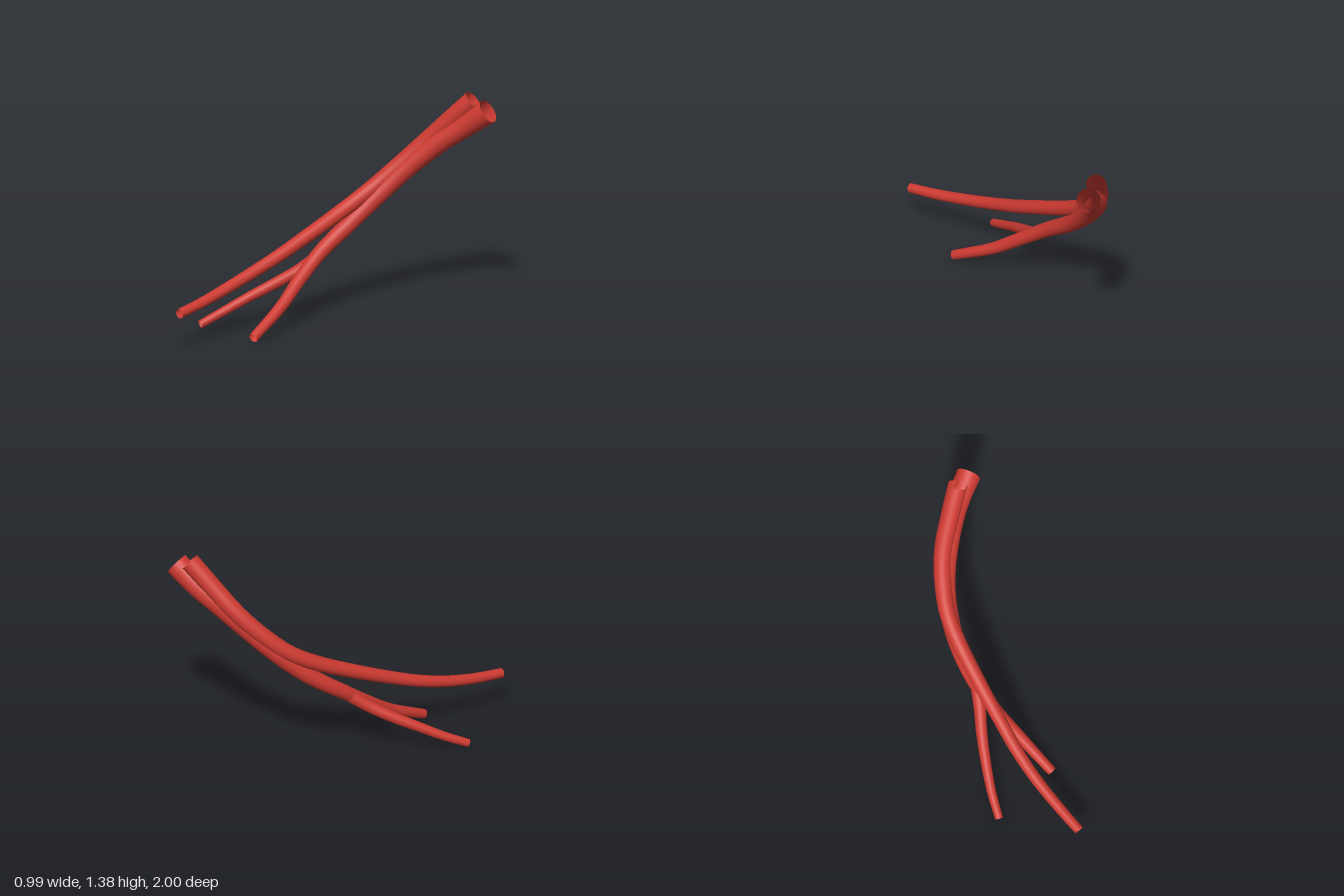
import * as THREE from 'three';

const SIDES = 24;

// Open tube along a smooth path, its radius growing evenly from r0 to r1
function taperedTube(name, points, r0, r1, material) {
  const curve = new THREE.CatmullRomCurve3(points.map(p => new THREE.Vector3(...p)));
  const steps = 64;
  const geometry = new THREE.TubeGeometry(curve, steps, 1, SIDES, false);
  const position = geometry.attributes.position;
  const v = new THREE.Vector3();
  for (let i = 0; i <= steps; i++) {
    const centre = curve.getPointAt(i / steps);
    const radius = THREE.MathUtils.lerp(r0, r1, i / steps);
    for (let j = 0; j <= SIDES; j++) {
      const k = i * (SIDES + 1) + j;
      v.fromBufferAttribute(position, k).sub(centre).multiplyScalar(radius).add(centre);
      position.setXYZ(k, v.x, v.y, v.z);
    }
  }
  const mesh = new THREE.Mesh(geometry, material);
  mesh.name = name;
  return mesh;
}

export function createModel() {
  const group = new THREE.Group();
  group.name = 'branchingVessels';
  const red = new THREE.MeshStandardMaterial({ color: 0xcc3a31, side: THREE.DoubleSide });
  red.name = 'vessel red';

  // Long upper vessel
  group.add(taperedTube('upperVessel', [
    [-0.18, 0.25, 1.0], [-0.195, 0.28, 0.8], [-0.205, 0.325, 0.6], [-0.2, 0.385, 0.4],
    [-0.18, 0.46, 0.2], [-0.16, 0.545, 0], [-0.125, 0.675, -0.28], [-0.085, 0.775, -0.45],
    [0, 0.92, -0.61], [0.09, 1.05, -0.72], [0.22, 1.21, -0.82], [0.335, 1.345, -0.9],
  ], 0.03, 0.06, red));

  // Wider lower vessel
  group.add(taperedTube('lowerVessel', [
    [-0.035, 0.035, 0.535], [-0.085, 0.17, 0.27], [-0.128, 0.3, 0.08], [-0.145, 0.43, -0.1],
    [-0.115, 0.58, -0.31], [-0.05, 0.745, -0.49], [0.04, 0.9, -0.63], [0.18, 1.07, -0.77],
    [0.31, 1.185, -0.865], [0.44, 1.29, -0.93],
  ], 0.03, 0.075, red));

  // Side branch leaving the lower vessel
  group.add(taperedTube('sideBranch', [
    [-0.472, 0.027, 0.585], [-0.42, 0.095, 0.44], [-0.355, 0.17, 0.3],
    [-0.275, 0.25, 0.15], [-0.2, 0.325, 0.03], [-0.14, 0.41, -0.08],
  ], 0.025, 0.04, red));

  return group;
}
